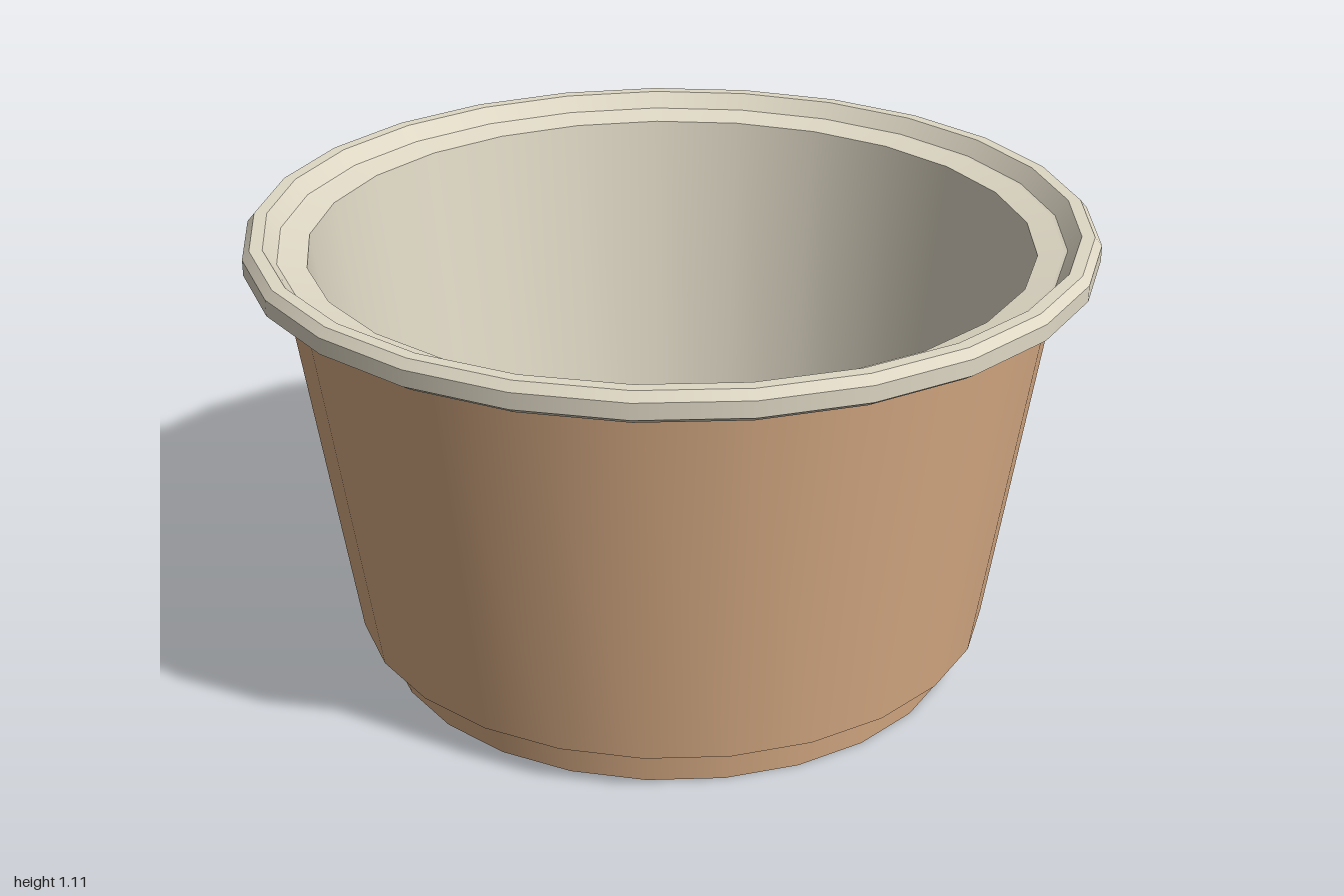
import * as THREE from 'three';
import { mergeGeometries } from 'three/addons/utils/BufferGeometryUtils.js';

const SIDES = 25;

// Round surface with a crisp edge at every profile point, smooth around the axis
function turned(profile) {
  const bands = [];
  for (let i = 0; i < profile.length - 1; i++) {
    const pair = [profile[i], profile[i + 1]].map(([r, y]) => new THREE.Vector2(r, y));
    bands.push(new THREE.LatheGeometry(pair, SIDES));
  }
  return mergeGeometries(bands).rotateY(Math.PI / 2).translate(-0.004, 0, 0);
}

export function createModel() {
  const card = new THREE.MeshStandardMaterial({ name: 'brown card', color: 0xdcaf87 });
  const cream = new THREE.MeshStandardMaterial({ name: 'cream lining', color: 0xdfd8c5 });
  const tub = new THREE.Group();
  tub.name = 'tub';

  const add = (name, material, profile) => {
    const mesh = new THREE.Mesh(turned(profile), material);
    mesh.name = name;
    tub.add(mesh);
  };

  // Base with its recessed foot
  add('base', card, [[0, 0], [0.713, 0], [0.728, 0.1]]);

  // Tapered outer sleeve with the step under it
  add('sleeve', card, [[0.728, 0.1], [0.777, 0.1], [0.917, 1.03]]);

  // Bevelled rim with an inner ledge
  add('rim', cream, [
    [0.917, 1.03], [0.976, 1.03], [1.002, 1.047], [1.002, 1.085], [0.985, 1.105],
    [0.955, 1.105], [0.925, 1.068], [0.918, 1.066], [0.857, 1.053],
  ]);

  // Inner wall and floor
  add('lining', cream, [[0.857, 1.053], [0.713, 0.006]]);
  add('floor', cream, [[0.713, 0.006], [0, 0.006]]);

  return tub;
}
